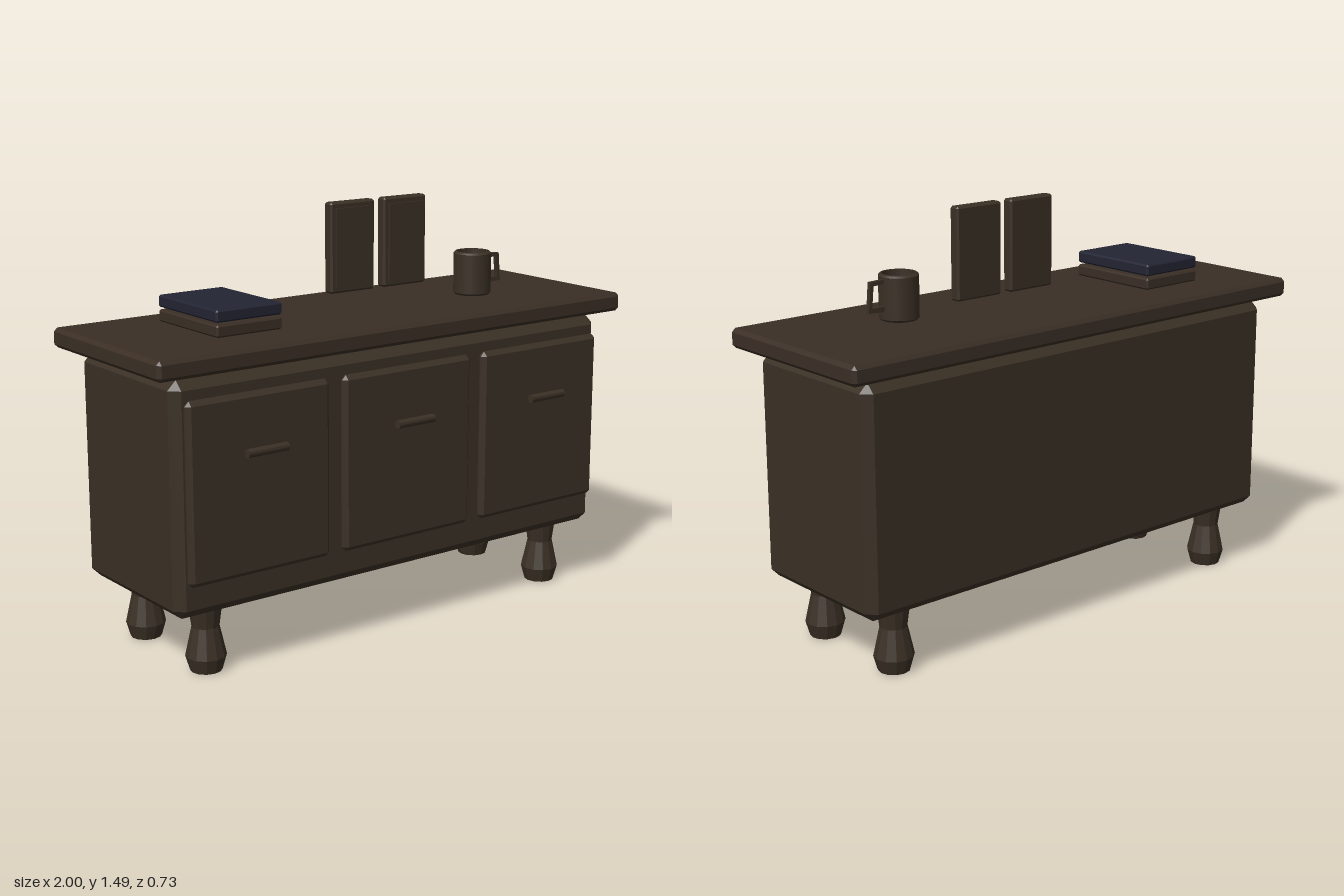
import * as THREE from 'three';
import { ConvexGeometry } from 'three/addons/geometries/ConvexGeometry.js';

const material = (name, color, extra = {}) => {
  const m = new THREE.MeshStandardMaterial({ color, ...extra });
  m.name = name;
  return m;
};

// Box between two corners with every edge cut by a flat chamfer c
function chamferBox([x0, y0, z0], [x1, y1, z1], c) {
  const half = [(x1 - x0) / 2, (y1 - y0) / 2, (z1 - z0) / 2];
  const points = [];
  for (const sx of [-1, 1]) for (const sy of [-1, 1]) for (const sz of [-1, 1]) {
    for (let axis = 0; axis < 3; axis++) {
      const h = half.map((v, i) => (i === axis ? v : v - c));
      points.push(new THREE.Vector3(sx * h[0], sy * h[1], sz * h[2]));
    }
  }
  return new ConvexGeometry(points).translate((x0 + x1) / 2, (y0 + y1) / 2, (z0 + z1) / 2);
}

const lathe = (profile, sides) =>
  new THREE.LatheGeometry(profile.map(([r, y]) => new THREE.Vector2(r, y)), sides);

export function createModel() {
  const group = new THREE.Group();
  group.name = 'sideboard';
  const wood = material('dark wood', 0x3a3025, { flatShading: true });
  const topWood = material('top wood', 0x3a2e25, { flatShading: true });
  const navy = material('navy cover', 0x232433, { flatShading: true });
  const ceramic = material('dark ceramic', 0x3a3025);

  const add = (name, geometry, mat, parent = group) => {
    const mesh = new THREE.Mesh(geometry, mat);
    mesh.name = name;
    parent.add(mesh);
    return mesh;
  };

  // Cabinet and worktop
  add('cabinetBody', chamferBox([-0.925, 0.23, -0.315], [0.925, 1.027, 0.285], 0.032), wood);
  add('worktop', chamferBox([-1, 1.042, -0.362], [1, 1.11, 0.328], 0.013), topWood);

  // Doors with bar handles
  for (const x of [-0.615, 0, 0.612]) {
    add('door', chamferBox([x - 0.28, 0.348, 0.283], [x + 0.28, 0.965, 0.32], 0.016), wood);
    const bar = new THREE.CylinderGeometry(0.015, 0.015, 0.157, 12).rotateZ(Math.PI / 2);
    add('doorHandle', bar, wood).position.set(x, 0.775, 0.351);
  }

  // Turned legs
  const legShape = lathe([[0, 0], [0.055, 0], [0.07, 0.052], [0.047, 0.156], [0.058, 0.235], [0, 0.235]], 12);
  for (const x of [-0.758, 0.758]) for (const z of [0.181, -0.212]) {
    add('leg', legShape, wood).position.set(x, 0, z);
  }

  // Stacked books
  add('lowerBook', chamferBox([-0.68, 1.118, -0.2], [-0.422, 1.16, 0.165], 0.006), topWood);
  add('upperBook', chamferBox([-0.68, 1.168, -0.2], [-0.422, 1.21, 0.165], 0.006), navy);

  // Picture frames with inset panels
  for (const x of [0.023, 0.258]) {
    add('pictureFrame', chamferBox([x - 0.097, 1.168, -0.076], [x + 0.097, 1.49, -0.034], 0.007), wood);
    add('picture', new THREE.BoxGeometry(0.155, 0.28, 0.009), wood).position.set(x, 1.329, -0.0295);
  }

  // Mug with a hollow bowl and angular handle
  const mug = new THREE.Group();
  mug.name = 'mug';
  mug.position.set(0.52, 1.118, 0.035);
  group.add(mug);
  const cup = lathe([[0, 0], [0.063, 0], [0.063, 0], [0.069, 0.007], [0.069, 0.007], [0.069, 0.151],
    [0.069, 0.151], [0.063, 0.158], [0.057, 0.158], [0.057, 0.158], [0.057, 0.015], [0.057, 0.015], [0, 0.015]], 24);
  add('mugCup', cup, ceramic, mug);
  const grip = new THREE.Shape([[0.064, 0.143], [0.122, 0.141], [0.131, 0.037], [0.064, 0.034]]
    .map(([x, y]) => new THREE.Vector2(x, y)));
  grip.holes.push(new THREE.Path([[0.064, 0.052], [0.117, 0.052], [0.11, 0.127], [0.064, 0.129]]
    .map(([x, y]) => new THREE.Vector2(x, y))));
  add('mugHandle', new THREE.ExtrudeGeometry(grip, { depth: 0.016, bevelEnabled: false })
    .translate(0, 0, -0.008), wood, mug);

  return group;
}
